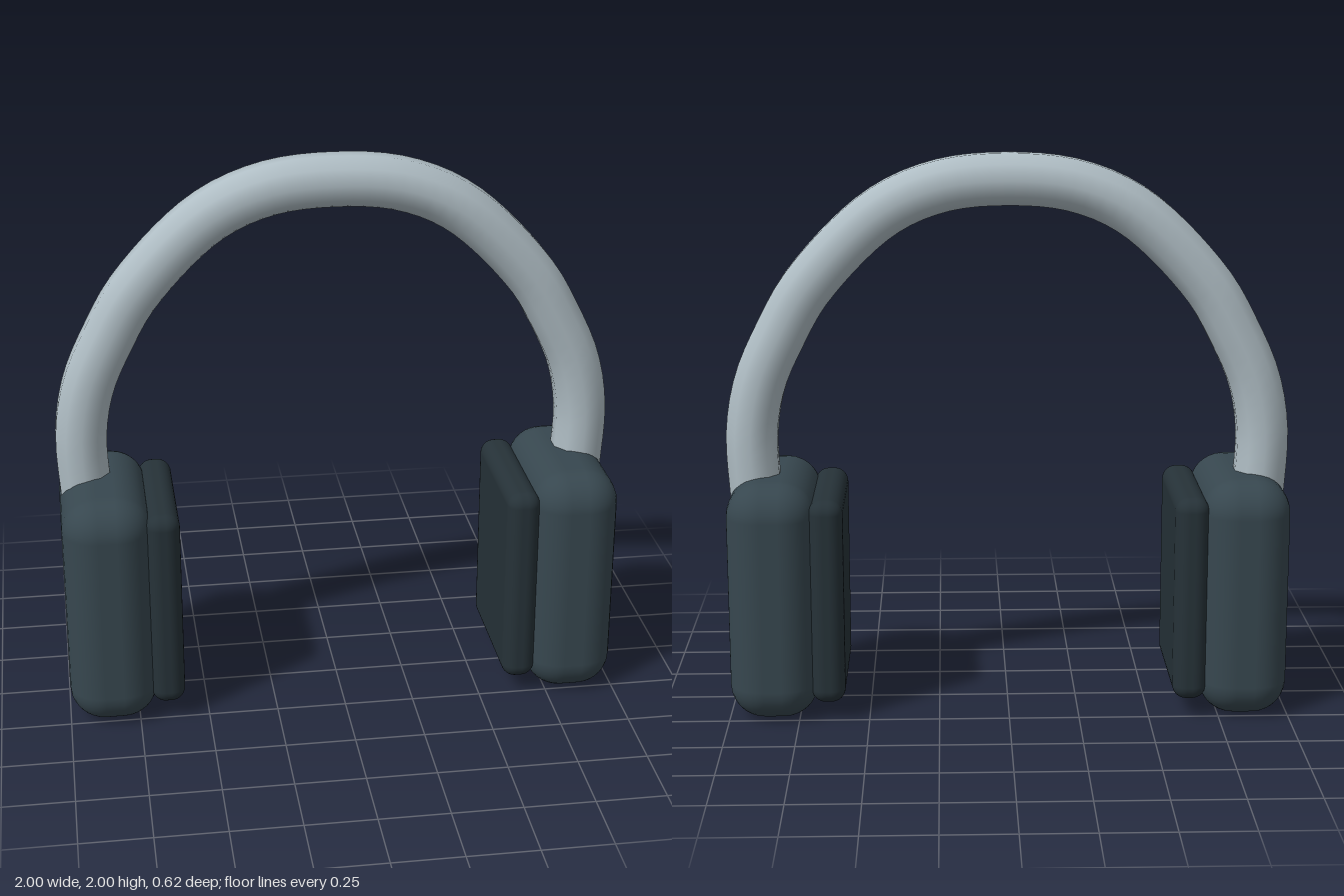
import * as THREE from 'three';
import { RoundedBoxGeometry } from 'three/addons/geometries/RoundedBoxGeometry.js';

const material = (color) => new THREE.MeshStandardMaterial({ color });

export function createModel() {
  const model = new THREE.Group();
  const add = (name, geometry, mat, x, y, z) => {
    const mesh = new THREE.Mesh(geometry, mat);
    mesh.name = name;
    mesh.position.set(x, y, z);
    model.add(mesh);
  };

  // Headband: a ten-sided smooth tube, mirrored about the crown
  const half = [
    [0.885, 0.62], [0.9, 0.8], [0.908, 1.02], [0.875, 1.2], [0.8, 1.37],
    [0.7, 1.54], [0.45, 1.79], [0.24, 1.885],
  ];
  const path = [
    ...half.map(([x, y]) => new THREE.Vector3(-x, y, 0)),
    new THREE.Vector3(0, 1.91, 0),
    ...half.slice().reverse().map(([x, y]) => new THREE.Vector3(x, y, 0)),
  ];
  const curve = new THREE.CatmullRomCurve3(path);
  const bandMaterial = material(0xb0bec5);
  bandMaterial.side = THREE.DoubleSide;
  add('headband', new THREE.TubeGeometry(curve, 64, 0.095, 10), bandMaterial, 0, 0, -0.05);

  // Ear cups with softer pads on their inner faces
  const cup = new RoundedBoxGeometry(0.315, 0.866, 0.62, 4, 0.125);
  const pad = new RoundedBoxGeometry(0.12, 0.745, 0.555, 4, 0.05);
  const cupMaterial = material(0x37474f);
  const padMaterial = material(0x263238);
  for (const [side, s] of [['left', 1], ['right', -1]]) {
    add(side + 'EarCup', cup, cupMaterial, s * 0.84, 0.433, 0);
    add(side + 'EarPad', pad, padMaterial, s * 0.645, 0.437, 0);
  }
  return model;
}
